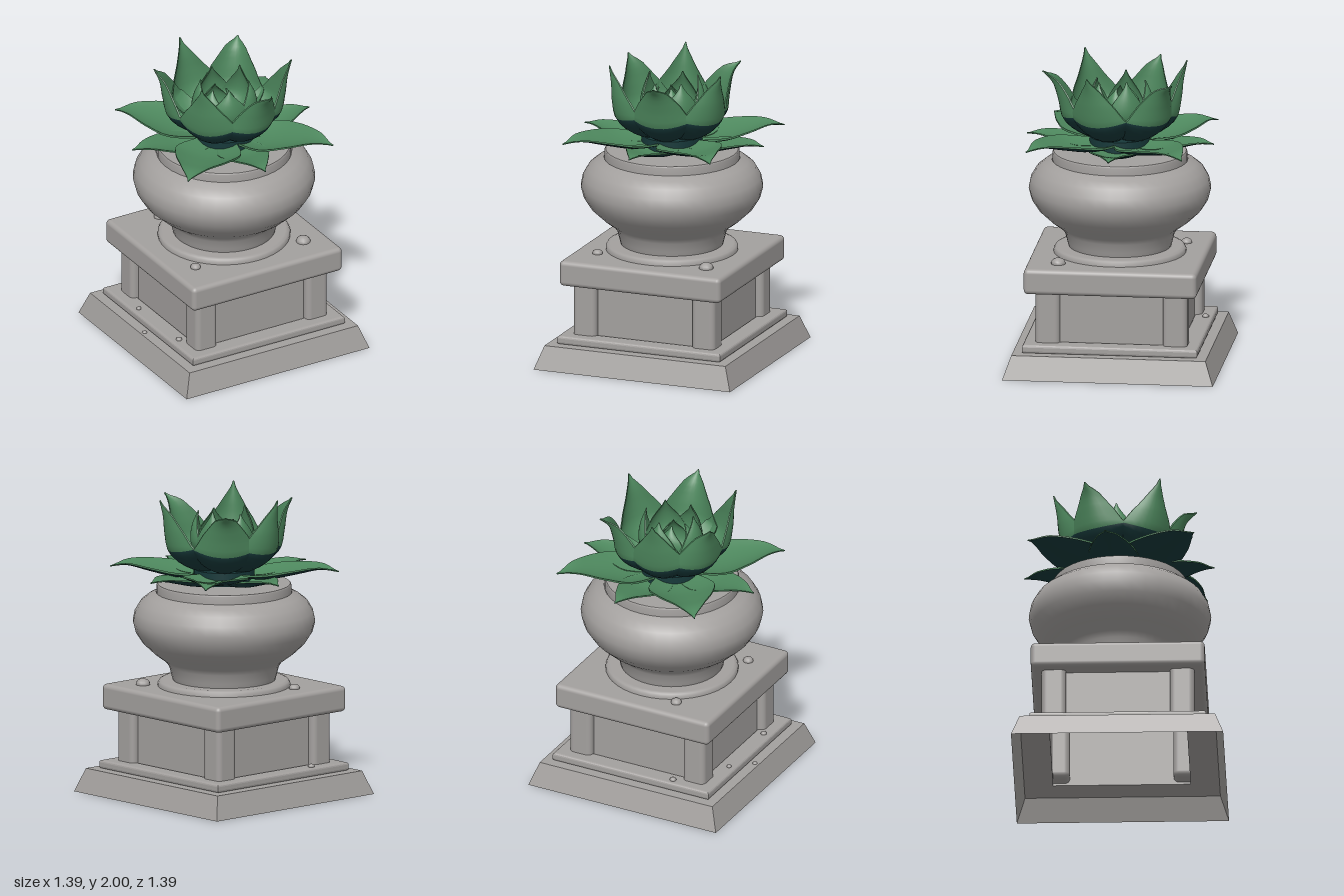
import * as THREE from 'three';
import { RoundedBoxGeometry } from 'three/addons/geometries/RoundedBoxGeometry.js';

const stone = new THREE.MeshStandardMaterial({ color: 0xa3a09e, side: THREE.DoubleSide });
stone.name = 'grey stone';
const green = new THREE.MeshStandardMaterial({ color: 0x4d875d, side: THREE.DoubleSide });
green.name = 'leaf green';
const dark = new THREE.MeshStandardMaterial({ color: 0x17393a, side: THREE.DoubleSide });
dark.name = 'dark leaf base';

function add(parent, name, geometry, material, x = 0, y = 0, z = 0) {
  const mesh = new THREE.Mesh(geometry, material);
  mesh.name = name;
  mesh.position.set(x, y, z);
  parent.add(mesh);
  return mesh;
}

// Open square tube with flat sides, half sizes at top and bottom
function squareTube(top, bottom, height) {
  const g = new THREE.CylinderGeometry(top * Math.SQRT2, bottom * Math.SQRT2, height, 4, 1, true)
    .rotateY(Math.PI / 4).toNonIndexed();
  g.computeVertexNormals();
  return g;
}

// Square frame outline with a square opening
function squareFrame(outer, inner) {
  const square = h => [[-h, -h], [h, -h], [h, h], [-h, h]].map(p => new THREE.Vector2(...p));
  const shape = new THREE.Shape(square(outer));
  shape.holes.push(new THREE.Path(square(inner).reverse()));
  return shape;
}

function lathe(points, segments = 40) {
  return new THREE.LatheGeometry(points.map(p => new THREE.Vector2(...p)), segments);
}

// Cupped leaf growing along +z. path: [radius, height] points; the back is dark for a share of its length
function leafGeometry({ path, width, profile, cup, thick = 0.016, darkShare }) {
  const rows = 16, cols = 10;
  const spine = new THREE.CatmullRomCurve3(path.map(([r, y]) => new THREE.Vector3(0, y, r)));
  const outline = new THREE.SplineCurve(profile.map((w, i) => new THREE.Vector2(i / (profile.length - 1), w)));
  const inner = [], outer = [], left = [], right = [];
  for (let i = 0; i <= rows; i++) {
    const t = i / rows;
    const p = spine.getPoint(t), tan = spine.getTangent(t);
    const n = new THREE.Vector3(0, tan.z, -tan.y);
    const w = Math.max(0.003, outline.getPoint(t).y * width);
    const th = thick * (1 - 0.6 * t);
    for (let j = 0; j <= cols; j++) {
      const u = j / cols * 2 - 1;
      const a = p.clone().addScaledVector(n, cup * w * u * u);
      a.x = u * w;
      const b = a.clone().addScaledVector(n, -th);
      inner.push(a);
      outer.push(b);
      if (j === 0) left.push(b, a);
      if (j === cols) right.push(a, b);
    }
  }
  const points = [], index = [];
  const grid = (list, n, flip, from = 0, to = rows, base = points.length) => {
    if (base === points.length) points.push(...list);
    for (let i = from; i < to; i++) for (let j = 0; j < n; j++) {
      const a = base + i * (n + 1) + j, b = a + n + 1;
      index.push(...(flip ? [a, a + 1, b, b, a + 1, b + 1] : [a, b, a + 1, b, b + 1, a + 1]));
    }
    return base;
  };
  grid(inner, cols, false);
  grid(left, 1, false);
  grid(right, 1, false);
  const split = Math.round(rows * darkShare);
  const base = grid(outer, cols, true, split, rows);
  const greenCount = index.length;
  grid(outer, cols, true, 0, split, base);
  const g = new THREE.BufferGeometry().setFromPoints(points);
  g.setIndex(index);
  g.addGroup(0, greenCount, 0);
  g.addGroup(greenCount, index.length - greenCount, 1);
  g.computeVertexNormals();
  return g;
}

function addLeaf(parent, name, x, z, options) {
  const leaf = add(parent, name, leafGeometry(options), [green, dark]);
  leaf.rotation.y = Math.atan2(x, z);
  return leaf;
}

export function createModel() {
  const model = new THREE.Group();
  model.name = 'potted succulent on pedestal';

  // Hollow pedestal base
  const pedestal = new THREE.Group();
  pedestal.name = 'pedestal';
  model.add(pedestal);
  add(pedestal, 'baseSkirt', squareTube(0.64, 0.695, 0.155), stone, 0, 0.0775);
  add(pedestal, 'baseTop', new THREE.ShapeGeometry(squareFrame(0.64, 0.45)).rotateX(-Math.PI / 2), stone, 0, 0.155);
  add(pedestal, 'baseStep', new THREE.ExtrudeGeometry(squareFrame(0.562, 0.466), {
    depth: 0.024, bevelThickness: 0.016, bevelSize: 0.016, bevelSegments: 3,
  }).rotateX(-Math.PI / 2), stone, 0, 0.171);

  // Recessed walls, corner posts and cap slab
  add(pedestal, 'walls', squareTube(0.45, 0.45, 0.40), stone, 0, 0.355);
  for (const x of [-0.42, 0.42]) for (const z of [-0.42, 0.42])
    add(pedestal, 'cornerPost', new RoundedBoxGeometry(0.16, 0.42, 0.16, 4, 0.035), stone, x, 0.38, z);
  add(pedestal, 'capSlab', new RoundedBoxGeometry(1.14, 0.17, 1.14, 3, 0.03), stone, 0, 0.635);
  add(pedestal, 'potFoot', lathe([[0.435, 0.71], [0.435, 0.735], [0.425, 0.752], [0.405, 0.76], [0, 0.76]]), stone);

  // Small pebbles: x, y, z, radius
  const pebbles = [
    [0.39, 0.725, 0.36, 0.048], [-0.4, 0.725, 0.31, 0.034], [-0.25, 0.725, -0.41, 0.036],
    [-0.52, 0.215, 0.3, 0.02], [-0.29, 0.215, -0.53, 0.022], [-0.53, 0.215, -0.2, 0.016], [-0.61, 0.155, 0.01, 0.016],
  ];
  for (const [x, y, z, r] of pebbles)
    add(pedestal, 'pebble', new THREE.SphereGeometry(r, 12, 8), stone, x, y, z).scale.y = 0.75;

  // Round pot with a straight collar and a closed top
  add(model, 'pot', lathe([
    [0.335, 0.755], [0.345, 0.79], [0.36, 0.85], [0.385, 0.885], [0.46, 0.94], [0.535, 1.01], [0.58, 1.08],
    [0.598, 1.15], [0.585, 1.215], [0.55, 1.275], [0.5, 1.315], [0.445, 1.34],
  ]), stone);
  add(model, 'potCollar', lathe([[0.442, 1.335], [0.442, 1.39], [0.435, 1.4]]), stone);
  add(model, 'potTop', lathe([[0.435, 1.4], [0, 1.4]]), stone);

  // Leaves around a dark core
  const plant = new THREE.Group();
  plant.name = 'plant';
  model.add(plant);
  add(plant, 'core', new THREE.CylinderGeometry(0.2, 0.2, 0.09, 24), dark, 0, 1.455);

  // Low spreading leaves: tip x, z
  const spread = [
    [-0.48, -0.59], [0.6, -0.48], [0.5, 0.56], [-0.57, 0.5],
    [0.09, -0.63], [0.65, 0], [-0.05, 0.62], [-0.65, -0.08],
  ];
  spread.forEach(([x, z], i) => {
    const R = Math.hypot(x, z), big = i < 4, lift = big ? 0.03 : 0;
    addLeaf(plant, big ? 'largeLowLeaf' : 'smallLowLeaf', x, z, {
      path: [[0.03, 1.44 + lift / 2], [R * 0.4, 1.425 + lift], [R * 0.65, 1.46 + lift], [R * 0.85, 1.488 + lift], [R, 1.485 + lift / 2]],
      width: big ? 0.215 : 0.165, profile: [0.4, 1, 0.8, 0.38, 0], cup: 0.22, darkShare: 1,
    });
  });

  // Tall cupped leaves: tip x, y, z
  const tall = [
    [-0.08, 2.0, -0.43], [-0.4, 1.95, -0.22], [-0.33, 2.0, 0.27],
    [0.07, 1.94, 0.5], [0.41, 1.98, 0.17], [0.33, 1.93, -0.38],
  ];
  for (const [x, y, z] of tall) {
    const R = Math.hypot(x, z);
    addLeaf(plant, 'tallLeaf', x, z, {
      path: [[0.02, 1.49], [0.22, 1.52], [0.36, 1.62], [0.395, 1.75], [R * 0.4 + 0.235, 1.87], [R, y]],
      width: 0.215, profile: [0.4, 0.88, 1, 0.72, 0.34, 0], cup: 0.5, darkShare: 0.45,
    });
  }

  // Heart of the plant: a ring of small leaning leaves around a closed bud
  const ring = [[0.75, 1.88], [1.95, 1.9], [3.1, 1.88], [4.6, 1.9], [5.95, 1.87]];
  for (const [a, y] of ring)
    addLeaf(plant, 'innerLeaf', Math.sin(a), Math.cos(a), {
      path: [[0.01, 1.52], [0.13, 1.56], [0.205, 1.66], [0.205, 1.77], [0.165, y]],
      width: 0.135, profile: [0.35, 0.85, 1, 0.66, 0], cup: 0.5, darkShare: 0.35,
    });
  const bud = new THREE.Group();
  bud.name = 'bud';
  bud.position.set(-0.04, 0, -0.01);
  plant.add(bud);
  for (let i = 0; i < 3; i++) {
    const a = 0.9 + i / 3 * Math.PI * 2;
    addLeaf(bud, 'budLeaf', Math.sin(a), Math.cos(a), {
      path: [[0.005, 1.53], [0.08, 1.58], [0.11, 1.66], [0.1, 1.74], [0.05, 1.81]],
      width: 0.1, profile: [0.4, 0.9, 1, 0.75, 0], cup: 0.55, darkShare: 0.3,
    });
  }
  return model;
}
